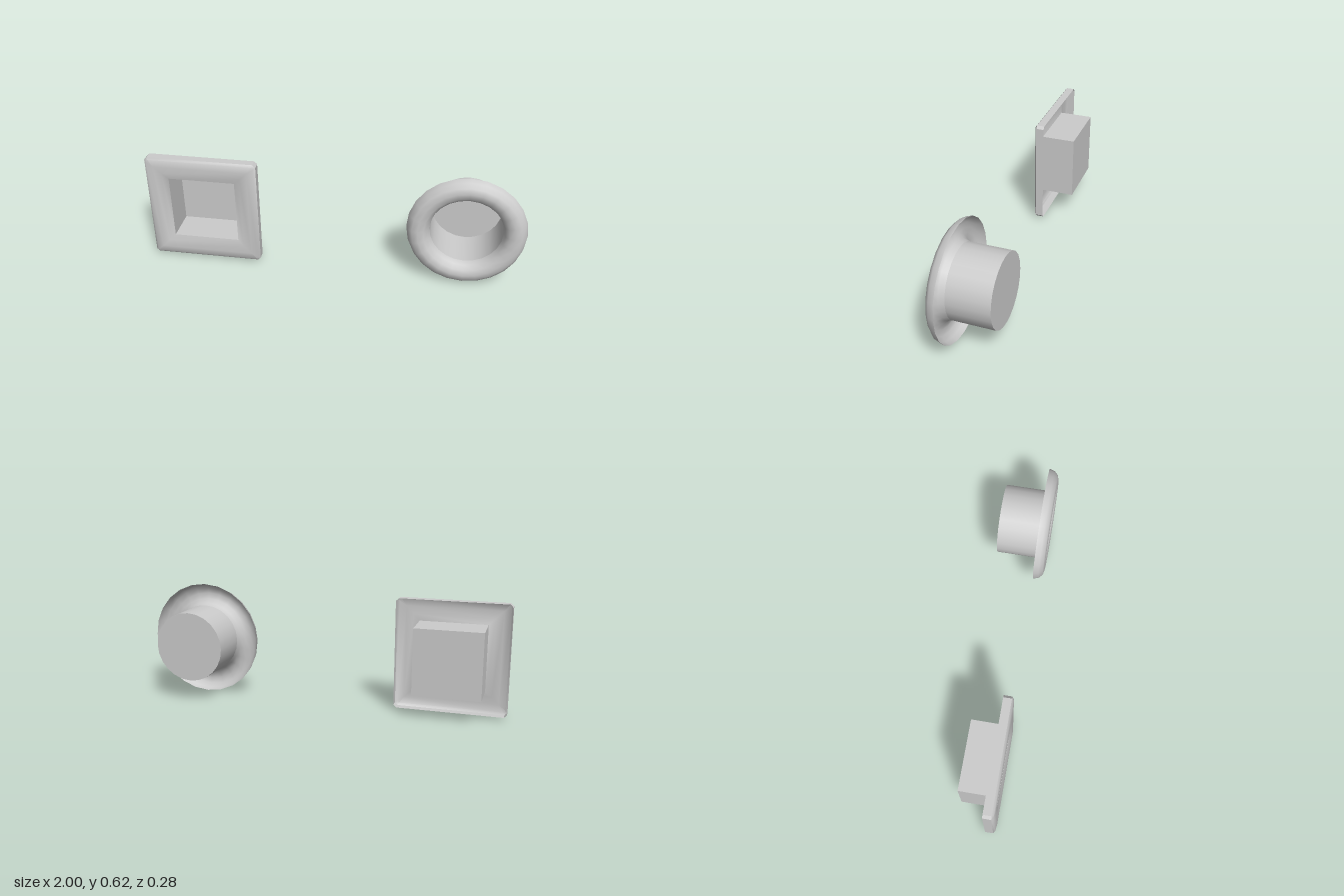
import * as THREE from 'three';
import { toCreasedNormals } from 'three/addons/utils/BufferGeometryUtils.js';

const material = new THREE.MeshStandardMaterial({ color: 0xcccccc, side: THREE.DoubleSide });

function addMesh(parent, name, geometry) {
  const mesh = new THREE.Mesh(geometry, material);
  mesh.name = name;
  parent.add(mesh);
  return mesh;
}

// Square ring with cut corners: half size h, corner cut c, depth z
function squareRing([h, z, c]) {
  const k = h - c;
  return [[h, -k], [h, k], [k, h], [-k, h], [-h, k], [-h, -k], [-k, -h], [k, -h]]
    .map(([x, y]) => new THREE.Vector3(x, y, z));
}

// Skin between successive square rings, listed from back outside to front inside
function loftSquares(profile) {
  const rings = profile.map(squareRing);
  const positions = [];
  const addTriangle = (a, b, c) => {
    if (new THREE.Triangle(a, b, c).getArea() < 1e-8) return;
    for (const p of [a, b, c]) positions.push(p.x, p.y, p.z);
  };
  for (let i = 0; i < rings.length - 1; i++) {
    for (let j = 0; j < 8; j++) {
      const n = (j + 1) % 8;
      addTriangle(rings[i][j], rings[i][n], rings[i + 1][n]);
      addTriangle(rings[i][j], rings[i + 1][n], rings[i + 1][j]);
    }
  }
  const geometry = new THREE.BufferGeometry();
  geometry.setAttribute('position', new THREE.Float32BufferAttribute(positions, 3));
  return toCreasedNormals(geometry, 0.6);
}

// Turned skin about the z axis from [radius, z] points
function turn(points) {
  return new THREE.LatheGeometry(points.map(([r, z]) => new THREE.Vector2(r, z)), 24)
    .rotateX(Math.PI / 2);
}

function createSquarePull() {
  const group = new THREE.Group();
  group.name = 'squarePull';
  // Hollow-backed frame with a softly domed face
  addMesh(group, 'squareFlange', loftSquares([
    [0.297, 0.055, 0.015], [0.297, 0.098, 0.015], [0.286, 0.107, 0.01],
    [0.25, 0.112, 0], [0.21, 0.109, 0], [0.177, 0.098, 0],
  ]));
  // Recessed pocket
  addMesh(group, 'squareCupWalls', loftSquares([[0.177, -0.088, 0], [0.177, 0.098, 0]]));
  addMesh(group, 'squareCupFloor', new THREE.PlaneGeometry(0.354, 0.354)).position.z = -0.088;
  group.position.set(-0.703, 0.311, 0);
  return group;
}

function createRoundPull() {
  const group = new THREE.Group();
  group.name = 'roundPull';
  // Half-round hollow rim
  addMesh(group, 'roundFlange', turn([
    [0.31, 0.083], [0.301, 0.112], [0.28, 0.133], [0.25, 0.14],
    [0.219, 0.133], [0.198, 0.112], [0.189, 0.083],
  ]));
  // Recessed cup
  addMesh(group, 'roundCupWall', turn([[0.189, -0.14], [0.189, 0.083]]));
  addMesh(group, 'roundCupFloor', new THREE.CircleGeometry(0.189, 24)).position.z = -0.14;
  group.position.set(0.69, 0.31, 0);
  return group;
}

export function createModel() {
  const model = new THREE.Group();
  model.name = 'recessedPulls';
  model.add(createSquarePull(), createRoundPull());
  return model;
}
